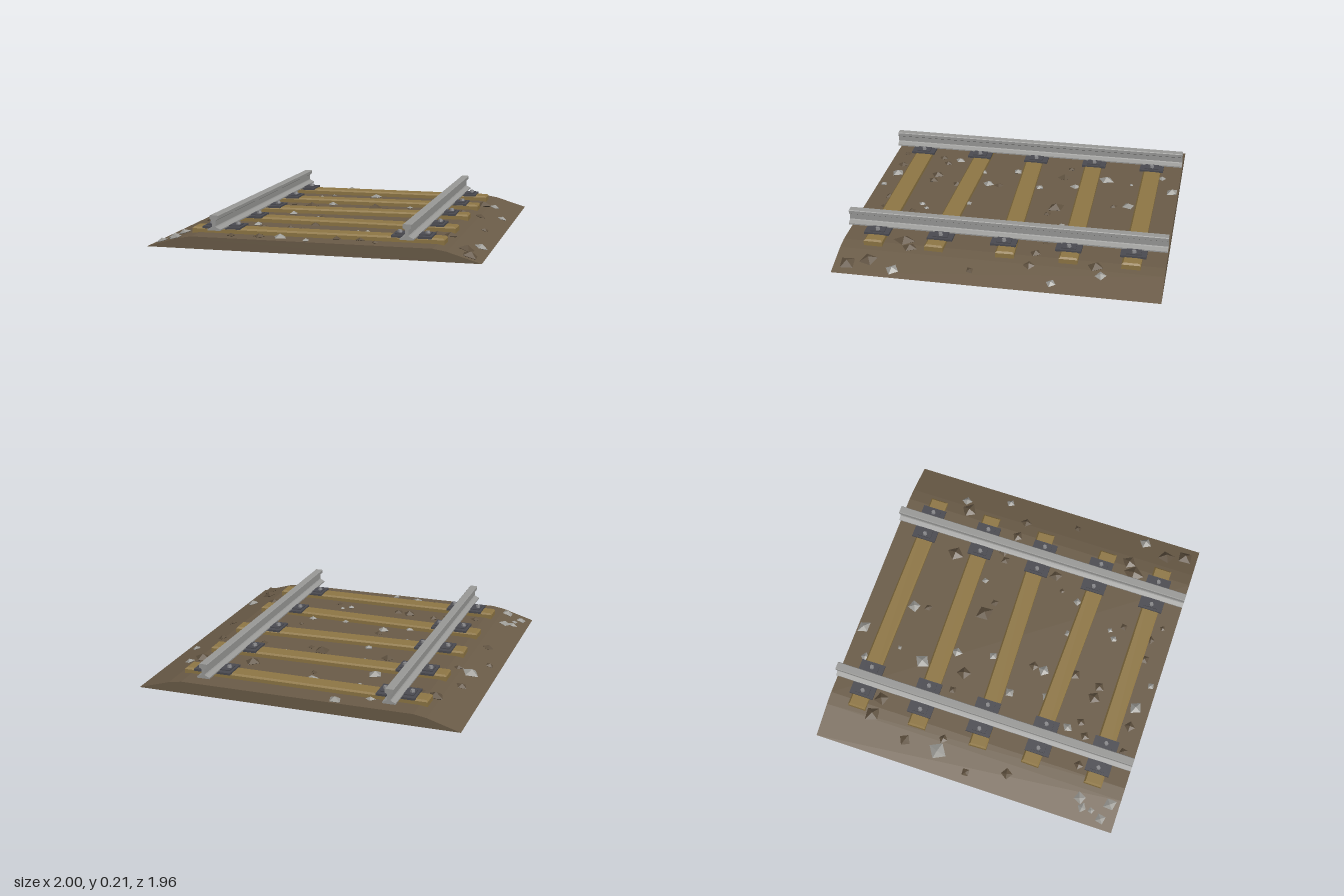
import * as THREE from 'three';

const mat = (name, color) => {
  const m = new THREE.MeshStandardMaterial({ color });
  m.name = name;
  return m;
};

// Height of the ballast bed at a given x
function bedHeight(x) {
  const a = Math.abs(x);
  if (a < 0.72) return 0.083;
  if (a < 0.8) return 0.083 - (a - 0.72) * 0.16;
  return 0.01 + (1 - a) * 0.3;
}

// Extrude a closed outline along z, centred on z = 0
function extrudeZ(points, length) {
  const shape = new THREE.Shape(points.map(([x, y]) => new THREE.Vector2(x, y)));
  const g = new THREE.ExtrudeGeometry(shape, { depth: length, bevelEnabled: false });
  return g.translate(0, 0, -length / 2);
}

// Mirror a half outline (listed bottom to top, x > 0) into a full one
const mirrored = (half) => [...half, ...half.slice().reverse().map(([x, y]) => [-x, y])];

export function createModel() {
  const model = new THREE.Group();
  model.name = 'railwayTrack';
  const earth = mat('earth brown', 0x6b5c48);
  const wood = mat('sleeper wood', 0x8f7745);
  const steel = mat('rail steel', 0x9a9a98);
  const iron = mat('dark iron', 0x4b4b51);
  const boltSteel = mat('bolt grey', 0x87878a);
  const paleStone = mat('pale stone', 0x9c9b96);
  const brownStone = mat('brown stone', 0x5f513f);

  const add = (parent, name, geometry, material, x = 0, y = 0, z = 0) => {
    const mesh = new THREE.Mesh(geometry, material);
    mesh.name = name;
    mesh.position.set(x, y, z);
    parent.add(mesh);
    return mesh;
  };

  // Ballast bed with sloping shoulders
  const bed = mirrored([[1, 0.01], [0.8, 0.07], [0.72, 0.083]]);
  add(model, 'ballastBed', extrudeZ(bed, 1.96), earth);

  // Rails: foot, web and head in one section
  const rail = extrudeZ(mirrored([
    [0.04, 0.124], [0.04, 0.132], [0.014, 0.144], [0.01, 0.15], [0.01, 0.183],
    [0.025, 0.192], [0.025, 0.211], [0.021, 0.215],
  ]), 1.96);
  const railX = [-0.577, 0.573];
  railX.forEach((x, i) => add(model, i ? 'leftRail' : 'rightRail', rail, steel, x));

  // Chamfered sleeper, built lying along x
  const c = 0.01;
  const outline = new THREE.Shape([
    [-0.755, -0.047], [0.755, -0.047], [0.755, 0.047], [-0.755, 0.047],
  ].map(([x, y]) => new THREE.Vector2(x, y)));
  const sleeper = new THREE.ExtrudeGeometry(outline, {
    depth: 0.03, bevelEnabled: true, bevelSize: c, bevelThickness: c, bevelSegments: 1,
  });
  sleeper.rotateX(-Math.PI / 2);

  const plate = new THREE.BoxGeometry(0.235, 0.013, 0.156);
  const clip = new THREE.BoxGeometry(0.07, 0.007, 0.09);
  const bolt = new THREE.CylinderGeometry(0.013, 0.016, 0.016, 6).toNonIndexed();
  bolt.computeVertexNormals();

  // Sleepers, each slightly askew, with a bolted plate under each rail
  const rows = [[-0.783, 0.006], [-0.395, -0.014], [0, -0.031], [0.39, 0.027], [0.783, 0.003]];
  for (const [z, skew] of rows) {
    add(model, 'sleeper', sleeper, wood, -0.002, 0.075, z).rotation.y = -skew;
    for (const x of railX) {
      const fixing = new THREE.Group();
      fixing.name = 'railFixing';
      fixing.position.set(x, 0, z);
      model.add(fixing);
      add(fixing, 'basePlate', plate, iron, 0, 0.1185, 0);
      for (const side of [-1, 1]) {
        add(fixing, 'clip', clip, iron, side * 0.067, 0.128, 0);
        add(fixing, 'bolt', bolt, boltSteel, side * 0.082, 0.138, 0);
      }
    }
  }

  // Loose stones: x, z, radius
  const pale = [
    -0.24, -0.94, 0.045, -0.43, -0.86, 0.03, -0.3, -0.67, 0.015, 0, -0.68, 0.04,
    -0.34, -0.5, 0.05, 0.84, -0.61, 0.033, 0.93, -0.33, 0.03, -0.21, -0.31, 0.035,
    0.32, -0.3, 0.02, -0.86, -0.21, 0.055, -0.16, -0.08, 0.03, -0.36, 0.1, 0.035,
    -0.15, 0.26, 0.04, -0.31, 0.33, 0.03, 0.37, 0.32, 0.03, 0.14, 0.33, 0.025,
    -0.46, 0.52, 0.033, 0.25, 0.58, 0.018, 0.2, 0.62, 0.025, 0.94, 0.62, 0.045,
    -0.86, 0.73, 0.04, -0.91, 0.76, 0.03, -0.91, 0.82, 0.02, -0.94, 0.89, 0.035,
    -0.84, 0.92, 0.04, -0.2, 0.89, 0.045, -0.03, 0.94, 0.025,
  ];
  const brown = [
    -0.77, -0.68, 0.055, -0.66, -0.66, 0.05, 0.02, -0.59, 0.025, 0.44, -0.55, 0.055,
    0.77, -0.57, 0.055, -0.86, -0.43, 0.035, -0.46, -0.25, 0.025, -0.33, -0.22, 0.05,
    0.1, -0.23, 0.06, 0.19, -0.19, 0.025, 0.5, -0.22, 0.03, 0.55, -0.25, 0.03,
    0.69, -0.2, 0.04, 0.81, -0.18, 0.033, -0.78, -0.2, 0.03, -0.93, 0, 0.028,
    -0.86, 0.25, 0.04, 0.89, 0.16, 0.027, 0.41, 0.2, 0.018, 0.5, 0.13, 0.04,
    -0.14, 0.19, 0.03, -0.67, 0.66, 0.028, -0.48, 0.64, 0.028, -0.4, 0.59, 0.03,
    -0.22, 0.62, 0.045, -0.14, 0.63, 0.033, -0.11, 0.46, 0.035, 0.3, 0.66, 0.025,
    0.68, 0.61, 0.06, 0.75, 0.56, 0.045, 0.88, 0.78, 0.055, 0.92, 0.9, 0.055,
    -0.34, 0.82, 0.028, -0.5, 0.9, 0.03, -0.33, 0.89, 0.035, 0.13, 0.85, 0.033,
    0.27, 0.85, 0.03, 0.51, 0.79, 0.03, 0.37, 0.9, 0.02,
  ];
  let seed = 7;
  const rnd = () => (seed = (seed * 16807) % 2147483647) / 2147483647;
  const stone = new THREE.OctahedronGeometry(1);
  for (const [list, material] of [[pale, paleStone], [brown, brownStone]]) {
    for (let i = 0; i < list.length; i += 3) {
      const [x, z, r] = list.slice(i, i + 3);
      const tilt = new THREE.Group();
      tilt.name = 'looseStone';
      tilt.position.set(x, bedHeight(x) + 0.003, z);
      tilt.rotation.z = Math.abs(x) > 0.78 ? -Math.sign(x) * 0.28 : 0;
      model.add(tilt);
      const mesh = add(tilt, 'stone', stone, material);
      mesh.scale.set(r * (0.85 + rnd() * 0.3), r * 0.5, r * (0.85 + rnd() * 0.3));
      mesh.rotation.y = rnd() * Math.PI;
    }
  }
  return model;
}
